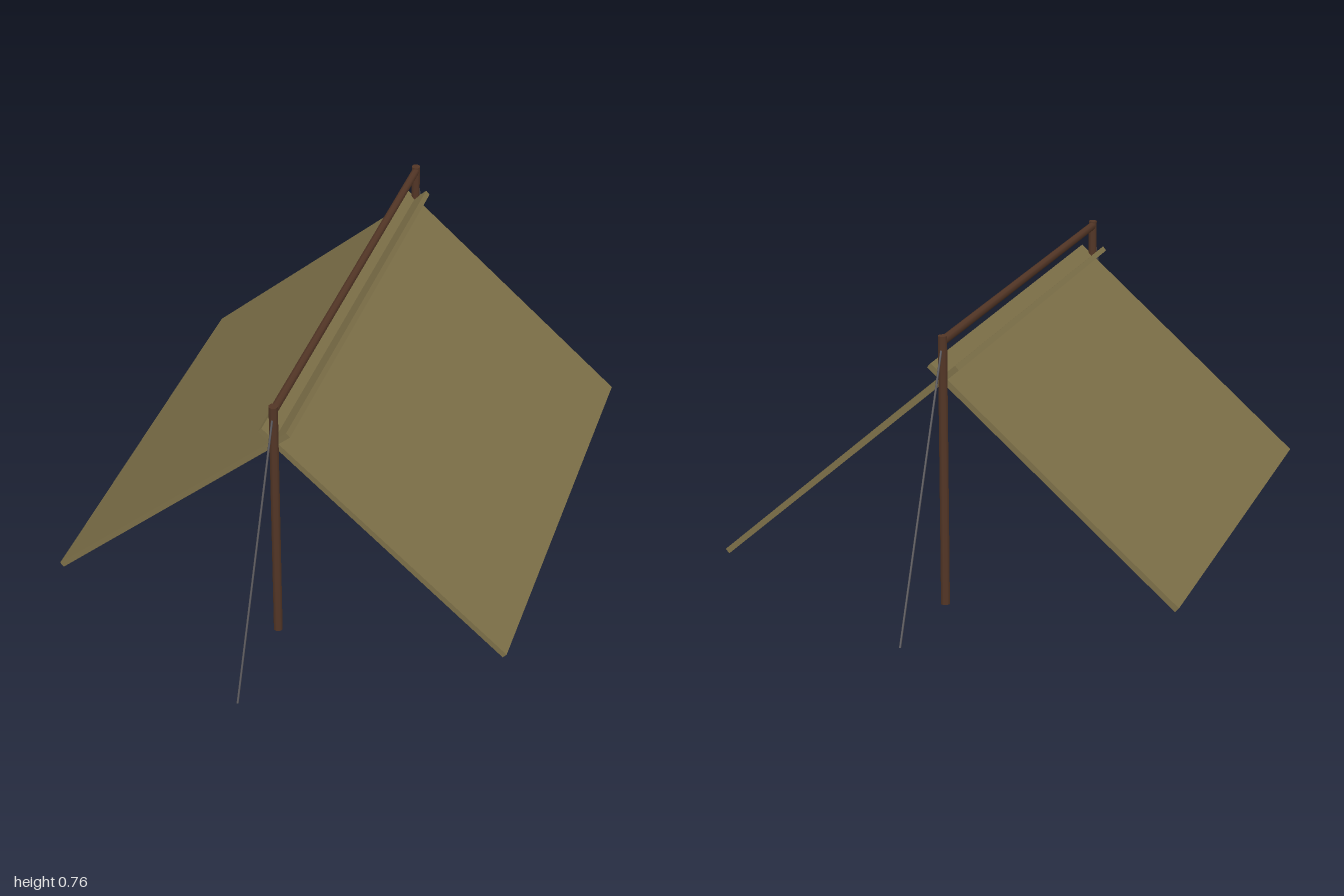
import * as THREE from 'three';

const mat = (name, color) => {
  const m = new THREE.MeshStandardMaterial({ color });
  m.name = name;
  return m;
};

export function createModel() {
  const canvas = mat('olive canvas', 0x7d7048);
  const wood = mat('dark wood', 0x533626);
  const rope = mat('grey rope', 0x555357);
  const red = mat('red blanket', 0x96423a);

  const group = new THREE.Group();
  group.name = 'tent';

  const add = (name, geometry, material, parent = group) => {
    const mesh = new THREE.Mesh(geometry, material);
    mesh.name = name;
    parent.add(mesh);
    return mesh;
  };

  // Round bar between two points
  const bar = (name, a, b, radius, sides, material) => {
    const dir = b.clone().sub(a);
    const mesh = add(name, new THREE.CylinderGeometry(radius, radius, dir.length(), sides), material);
    mesh.position.copy(a).add(b).multiplyScalar(0.5);
    mesh.quaternion.setFromUnitVectors(new THREE.Vector3(0, 1, 0), dir.normalize());
  };
  const v = (x, y, z) => new THREE.Vector3(x, y, z);

  // Sloping roof sheets, crossing just under the ridge pole
  const length = 0.914, thickness = 0.016, width = 1.33, slope = 0.72;
  for (const side of [-1, 1]) {
    const panel = new THREE.Group();
    panel.name = side < 0 ? 'rightRoof' : 'leftRoof';
    panel.position.set(side * 0.304, 0.3705, 0);
    panel.rotation.z = -side * slope;
    group.add(panel);
    add('roofSheet', new THREE.BoxGeometry(length, thickness, width), canvas, panel);

    // Red patch on the underside of one sheet
    if (side < 0) {
      const patch = add('redPatch', new THREE.BoxGeometry(0.48, 0.007, 0.3), red, panel);
      patch.position.set(0.028, -thickness / 2 - 0.0033, 0.305);
    }
  }

  // End posts and guy ropes
  for (const s of [1, -1]) {
    const end = s > 0 ? 'front' : 'back';
    bar(end + 'Post', v(0, 0, s * 0.665), v(0, 0.757, s * 0.665), 0.013, 8, wood);
    bar(end + 'Rope', v(0, 0.735, s * 0.668), v(0, 0.01, s * 0.998), 0.003, 6, rope);
  }

  // Ridge pole
  bar('ridgePole', v(0, 0.742, -0.667), v(0, 0.742, 0.667), 0.012, 8, wood);

  return group;
}
